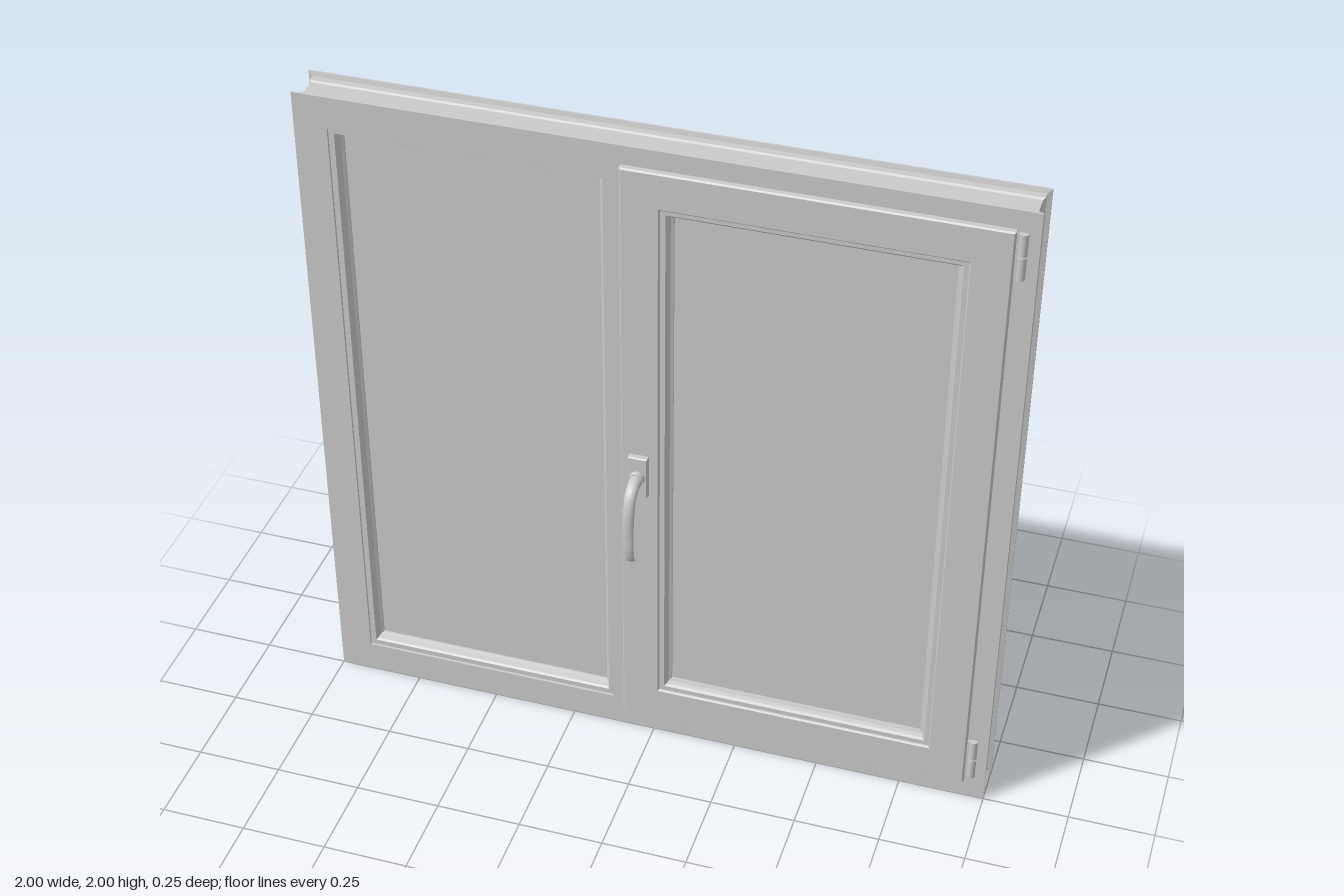
import * as THREE from 'three';

const material = new THREE.MeshStandardMaterial({ color: 0xcccccc });

function addMesh(parent, name, geometry, x = 0, y = 0, z = 0) {
  const mesh = new THREE.Mesh(geometry, material);
  mesh.name = name;
  mesh.position.set(x, y, z);
  parent.add(mesh);
  return mesh;
}

// Box given by its limits
function addBlock(parent, name, [x0, x1], [y0, y1], [z0, z1]) {
  return addMesh(parent, name, new THREE.BoxGeometry(x1 - x0, y1 - y0, z1 - z0),
    (x0 + x1) / 2, (y0 + y1) / 2, (z0 + z1) / 2);
}

// Sweeps a closed profile of [inset, z] points around a rectangle with mitred corners.
// The profile runs outer back, outer front, inner front, inner back.
function mitredFrame([x0, x1], [y0, y1], profile) {
  const corner = (k, [inset, z]) => [
    k === 0 || k === 3 ? x0 + inset : x1 - inset,
    k < 2 ? y0 + inset : y1 - inset,
    z,
  ];
  const positions = [];
  for (let k = 0; k < 4; k++) {
    const next = (k + 1) % 4;
    profile.forEach((p, i) => {
      const q = profile[(i + 1) % profile.length];
      const a = corner(k, p), b = corner(next, p), c = corner(next, q), d = corner(k, q);
      positions.push(...a, ...b, ...c, ...a, ...c, ...d);
    });
  }
  const geometry = new THREE.BufferGeometry();
  geometry.setAttribute('position', new THREE.Float32BufferAttribute(positions, 3));
  geometry.computeVertexNormals();
  return geometry;
}

// Curved lever: a tube whose rings taper towards the tip
function leverGeometry() {
  const path = new THREE.CatmullRomCurve3([
    [0.968, 0.035], [0.965, 0.07], [0.948, 0.1], [0.9, 0.117],
    [0.83, 0.12], [0.76, 0.114], [0.73, 0.105], [0.716, 0.09],
  ].map(([y, z]) => new THREE.Vector3(0, y, z)));
  const segments = 48, sides = 16;
  const geometry = new THREE.TubeGeometry(path, segments, 1, sides);
  const pos = geometry.attributes.position;
  const v = new THREE.Vector3();
  for (let i = 0; i <= segments; i++) {
    const t = i / segments;
    const centre = path.getPointAt(t);
    const tip = Math.sqrt(Math.max(0, 1 - Math.max(0, (t - 0.96) / 0.04) ** 2));
    const width = THREE.MathUtils.lerp(0.019, 0.012, t) * tip;
    const depth = THREE.MathUtils.lerp(0.018, 0.006, Math.min(1, t * 1.5)) * tip;
    for (let j = 0; j <= sides; j++) {
      const n = i * (sides + 1) + j;
      v.fromBufferAttribute(pos, n).sub(centre);
      pos.setXYZ(n, v.x * width, centre.y + v.y * depth, centre.z + v.z * depth);
    }
  }
  geometry.computeVertexNormals();
  return geometry;
}

export function createModel() {
  const model = new THREE.Group();
  model.name = 'window';

  // Outer frame with a channel between its front and back flanges
  addMesh(model, 'outerFrame', mitredFrame([-1, 1], [0, 2], [
    [0, -0.125], [0, -0.12], [0.013, -0.116], [0.013, -0.096], [0.018, -0.092],
    [0.018, -0.033], [0.013, -0.029], [0.013, -0.009], [0, -0.005], [0, 0],
    [0.095, 0], [0.095, -0.125],
  ]));
  addBlock(model, 'mullion', [-0.127, -0.06], [0.09, 1.91], [-0.125, 0]);

  // Fixed pane on the right, held by a stepped bead
  const fixed = new THREE.Group();
  fixed.name = 'fixedPane';
  model.add(fixed);
  addMesh(fixed, 'fixedBead', mitredFrame([-0.905, -0.127], [0.095, 1.905], [
    [0, -0.1], [0, -0.008], [0.016, -0.008], [0.02, -0.014], [0.024, -0.03],
    [0.031, -0.035], [0.031, -0.08], [0.016, -0.085], [0.016, -0.1],
  ]));
  addBlock(fixed, 'fixedGlass', [-0.88, -0.152], [0.12, 1.88], [-0.077, -0.04]);

  // Opening sash on the left, overlapping the front of the frame
  const sash = new THREE.Group();
  sash.name = 'openingSash';
  model.add(sash);
  addMesh(sash, 'sashFrame', mitredFrame([-0.09, 0.94], [0.065, 1.945], [
    [0.03, -0.1245], [0.03, 0.001], [0, 0.001], [0, 0.016], [0.004, 0.02],
    [0.106, 0.02], [0.11, 0.016], [0.11, -0.1245],
  ]));
  addMesh(sash, 'sashBead', mitredFrame([0.02, 0.83], [0.175, 1.835], [
    [0, -0.06], [0, 0.012], [0.014, 0.012], [0.02, 0.006], [0.023, -0.006],
    [0.031, -0.01], [0.031, -0.054], [0.012, -0.06],
  ]));
  addBlock(sash, 'sashGlass', [0.045, 0.805], [0.2, 1.81], [-0.052, -0.015]);

  // Handle
  const handle = new THREE.Group();
  handle.name = 'handle';
  handle.position.x = -0.037;
  model.add(handle);
  const plate = new THREE.ExtrudeGeometry(new THREE.Shape([
    new THREE.Vector2(-0.025, 0.905), new THREE.Vector2(0.025, 0.905),
    new THREE.Vector2(0.025, 1.031), new THREE.Vector2(-0.025, 1.031),
  ]), { depth: 0.014, bevelSize: 0.003, bevelThickness: 0.004, bevelSegments: 1 });
  addMesh(handle, 'handlePlate', plate, 0, 0, 0.02);
  const collar = addMesh(handle, 'handleCollar',
    new THREE.CylinderGeometry(0.02, 0.022, 0.016, 24), 0, 0.968, 0.044);
  collar.rotation.x = Math.PI / 2;
  addMesh(handle, 'handleLever', leverGeometry());

  // Hinges, each a pair of knuckles on a leaf
  for (const y of [0.152, 1.87]) {
    const hinge = new THREE.Group();
    hinge.name = 'hinge';
    hinge.position.set(0.958, y, 0);
    model.add(hinge);
    addBlock(hinge, 'hingeLeaf', [-0.02, 0], [-0.065, 0.065], [0, 0.006]);
    for (const side of [-1, 1]) {
      addMesh(hinge, 'hingeKnuckle',
        new THREE.CylinderGeometry(0.012, 0.012, 0.066, 16), 0, side * 0.0345, 0.003);
    }
  }
  return model;
}
